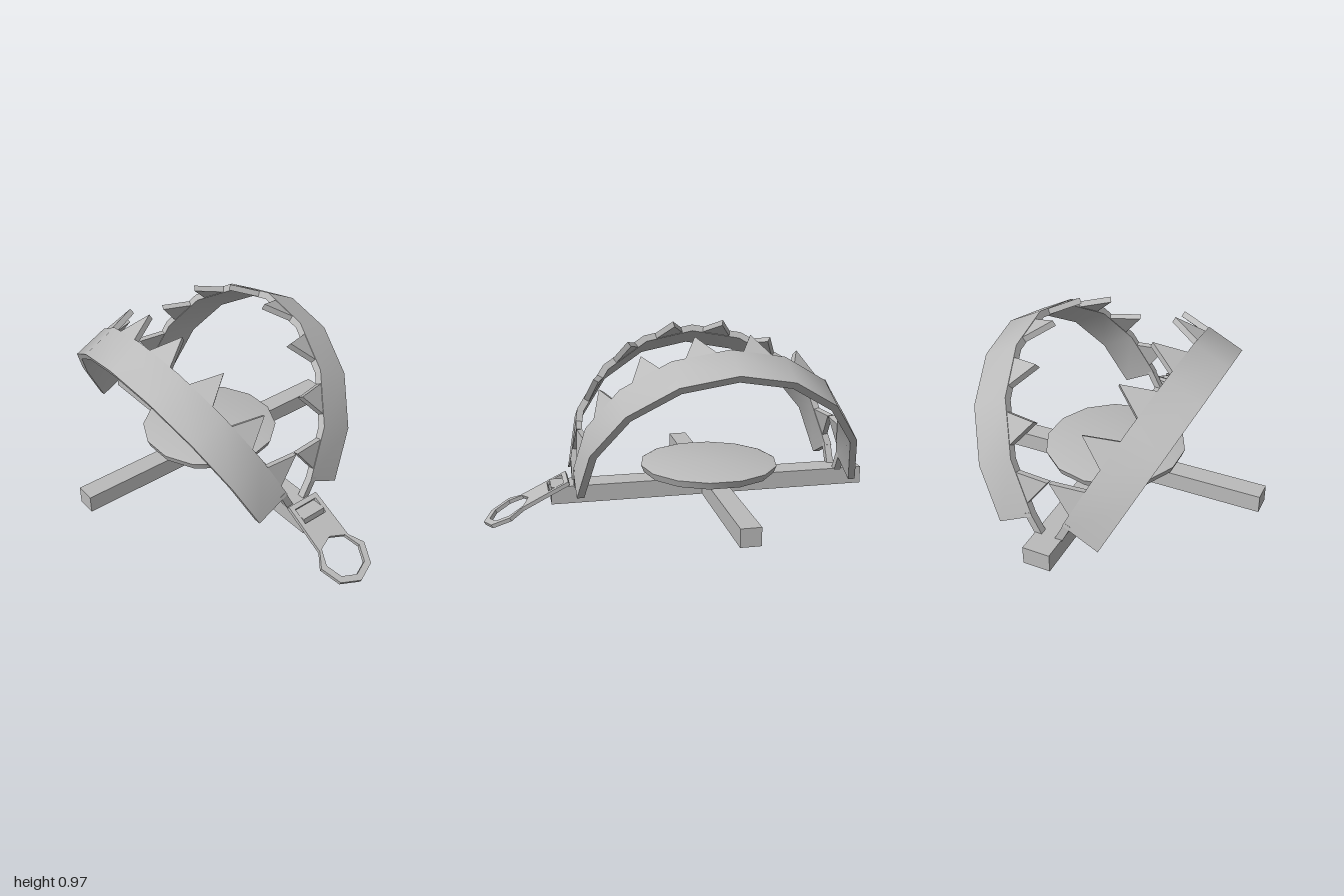
import * as THREE from 'three';
import { toCreasedNormals } from 'three/addons/utils/BufferGeometryUtils.js';

const CENTER_Z = -0.17; // middle of the trap along z
const BASE_TOP = 0.2;
const TILT = THREE.MathUtils.degToRad(27); // how far each jaw leans open
const R = 0.718, THICK = 0.036, WIDTH = 0.197, SEGMENTS = 8;

export function createModel() {
  const steel = new THREE.MeshStandardMaterial({ color: 0xbbbbbb });
  steel.name = 'grey steel';
  const model = new THREE.Group();
  model.name = 'spikedJawTrap';

  const add = (parent, name, geometry, x = 0, y = 0, z = 0) => {
    const mesh = new THREE.Mesh(geometry, steel);
    mesh.name = name;
    mesh.position.set(x, y, z);
    parent.add(mesh);
    return mesh;
  };
  const extrude = (shape, depth) =>
    new THREE.ExtrudeGeometry(shape, { depth, bevelEnabled: false });

  // Crossed base bars
  add(model, 'longBaseBar', new THREE.BoxGeometry(0.135, 0.09, 1.66), 0, 0.155, CENTER_Z);
  add(model, 'crossBaseBar', new THREE.BoxGeometry(1.58, 0.09, 0.1), 0, 0.155, CENTER_Z);

  // Shallow round trigger plate
  const profile = [[0, 0.2], [0.13, 0.203], [0.345, 0.228], [0.36, 0.265], [0.345, 0.27], [0, 0.27]]
    .map(([r, y]) => new THREE.Vector2(r, y));
  add(model, 'triggerPlate',
    toCreasedNormals(new THREE.LatheGeometry(profile, 14), 0.5), 0, 0, CENTER_Z);

  // Jaw: half-ring band, local x along the trap, y up the jaw, z across the band
  const arc = (r) => Array.from({ length: SEGMENTS + 1 }, (_, i) => {
    const a = (i / SEGMENTS) * Math.PI;
    return new THREE.Vector2(r * Math.cos(a), r * Math.sin(a));
  });
  const bandShape = new THREE.Shape([...arc(R), ...arc(R - THICK).reverse()]);
  const bandGeometry = toCreasedNormals(extrude(bandShape, WIDTH), 0.6);

  // Tooth: thin triangle pointing out of the band's inner rim
  const toothShape = new THREE.Shape([[-0.085, -0.02], [0.085, -0.02], [0, 0.15]]
    .map(([x, y]) => new THREE.Vector2(x, y)));
  const toothGeometry = extrude(toothShape, 0.03);
  toothGeometry.translate(0, 0, -0.015);
  toothGeometry.rotateX(Math.PI / 2);

  function makeJaw(name) {
    const jaw = new THREE.Group();
    jaw.name = name;
    add(jaw, 'jawBand', bandGeometry);
    const mid = (R - THICK / 2) * Math.cos(Math.PI / SEGMENTS / 2);
    for (let i = 0; i < SEGMENTS; i++) {
      const a = ((i + 0.5) / SEGMENTS) * Math.PI;
      const tooth = add(jaw, 'tooth', toothGeometry, mid * Math.cos(a), mid * Math.sin(a), WIDTH);
      tooth.rotation.z = a - Math.PI / 2;
    }
    // Narrow pivot tabs reaching down to the base
    for (const side of [-1, 1]) {
      add(jaw, 'pivotTab', new THREE.BoxGeometry(THICK, 0.13, 0.035),
        side * (R - THICK / 2 - 0.003), -0.045, WIDTH - 0.02);
    }
    const s = Math.sin(TILT), c = Math.cos(TILT);
    jaw.applyMatrix4(new THREE.Matrix4().makeBasis(
      new THREE.Vector3(0, 0, 1), new THREE.Vector3(s, c, 0), new THREE.Vector3(-c, s, 0)));
    jaw.position.set(0.252, BASE_TOP, 0);
    return jaw;
  }

  // Two jaws, the second turned half way round
  for (const [name, turn] of [['leftJaw', 0], ['rightJaw', Math.PI]]) {
    const holder = new THREE.Group();
    holder.name = name + 'Mount';
    holder.add(makeJaw(name));
    holder.rotation.y = turn;
    holder.position.z = CENTER_Z;
    model.add(holder);
  }

  // Sloping latch plate with a slot and an eight-sided ring at its end
  const ringY = 0.332;
  const ringPoint = (r, i) => {
    const a = (i * Math.PI) / 4;
    return new THREE.Vector2(r * Math.cos(a), ringY + r * Math.sin(a));
  };
  const latch = new THREE.Shape([
    new THREE.Vector2(-0.09, 0), new THREE.Vector2(0.09, 0), new THREE.Vector2(0.095, 0.26),
    ...[0, 1, 2, 3, 4].map((i) => ringPoint(0.144, i)), new THREE.Vector2(-0.095, 0.26),
  ]);
  latch.holes.push(
    new THREE.Path([0, 1, 2, 3, 4, 5, 6, 7].map((i) => ringPoint(0.11, i))),
    new THREE.Path([[-0.068, 0.025], [-0.068, 0.11], [0.068, 0.11], [0.068, 0.025]]
      .map(([x, y]) => new THREE.Vector2(x, y))));
  const handle = add(model, 'latchHandle', extrude(latch, 0.02), 0, 0.232, 0.575);
  handle.rotation.x = Math.PI / 2 + 0.464;

  return model;
}
